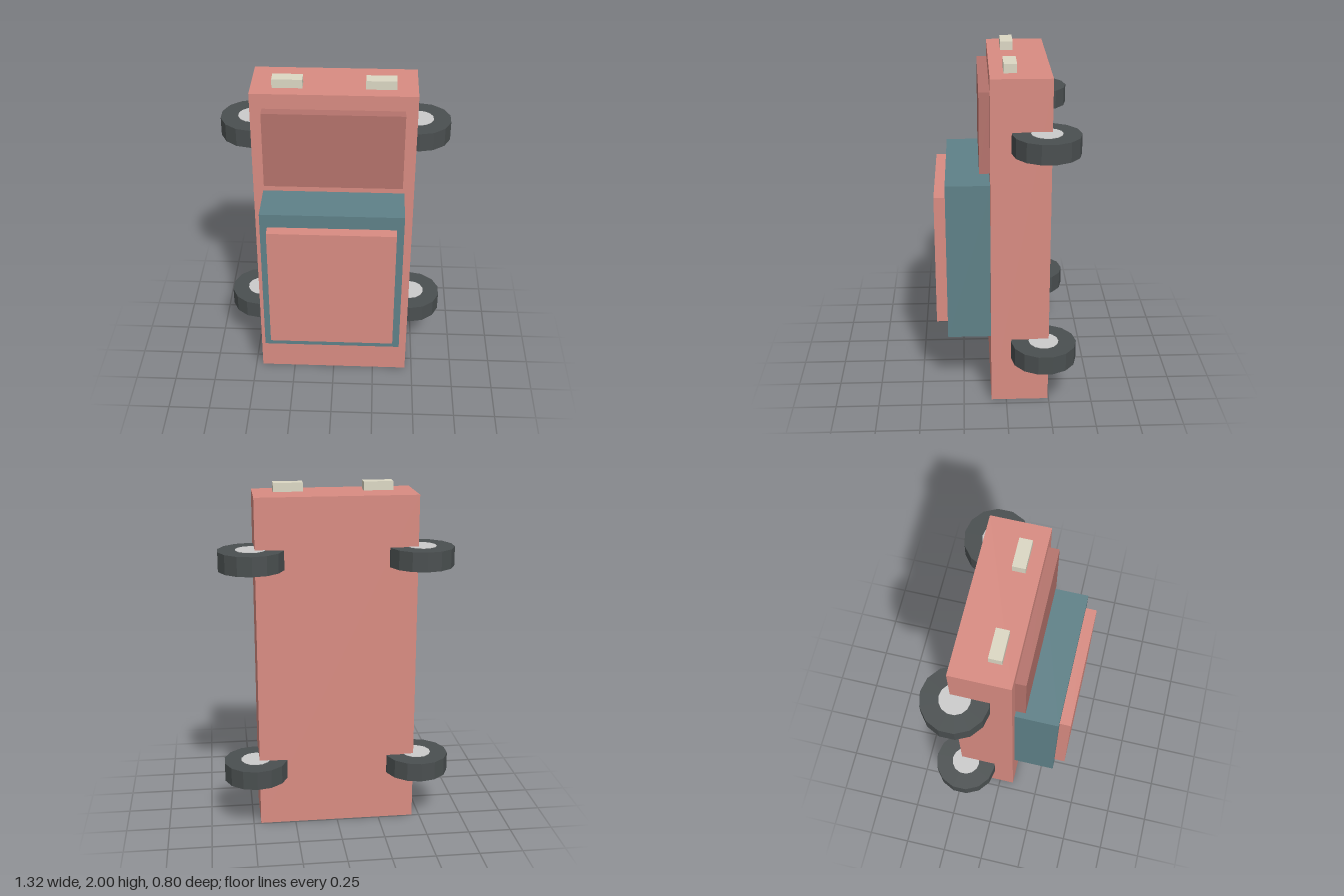
import * as THREE from 'three';

const mat = (color) => new THREE.MeshStandardMaterial({ color, flatShading: true });

export function createModel() {
  const model = new THREE.Group();
  model.name = 'toyCar';

  const red = mat(0xd98c82);
  const darkRed = mat(0xb5736c);
  const glass = mat(0x5f8188);
  const rubber = mat(0x4a4f50);
  const metal = mat(0xc0c4c4);
  const lamp = mat(0xdcd8c4);

  // Box given by its x, y and z ranges
  function box(name, material, [x0, x1], [y0, y1], [z0, z1]) {
    const mesh = new THREE.Mesh(new THREE.BoxGeometry(x1 - x0, y1 - y0, z1 - z0), material);
    mesh.position.set((x0 + x1) / 2, (y0 + y1) / 2, (z0 + z1) / 2);
    mesh.name = name;
    model.add(mesh);
  }

  // Car standing on its tail, roof towards +z
  box('body', red, [-0.457, 0.457], [0, 1.95], [-0.245, 0.088]);
  box('hood', darkRed, [-0.39, 0.39], [1.405, 1.862], [0.08, 0.147]);
  box('cabin', glass, [-0.402, 0.402], [0.398, 1.338], [0.08, 0.336]);
  box('roof', red, [-0.36, 0.36], [0.48, 1.255], [0.33, 0.4]);

  // Wheel with a hub that stands just proud of both faces
  function wheel(name, x, y) {
    const group = new THREE.Group();
    group.name = name;
    const tire = new THREE.Mesh(new THREE.CylinderGeometry(0.187, 0.187, 0.11, 14), rubber);
    tire.name = 'tire';
    const hub = new THREE.Mesh(new THREE.CylinderGeometry(0.086, 0.086, 0.116, 14), metal);
    hub.name = 'hub';
    group.add(tire, hub);
    group.position.set(x, y, -0.213);
    model.add(group);
  }

  for (const side of [-1, 1]) {
    const label = side > 0 ? 'Left' : 'Right';
    wheel('frontWheel' + label, side * 0.478, 1.604);
    wheel('rearWheel' + label, side * 0.478, 0.349);
    const cx = side * 0.256;
    box('headlight' + label, lamp, [cx - 0.084, cx + 0.084], [1.93, 2], [-0.06, 0.012]);
  }

  return model;
}
